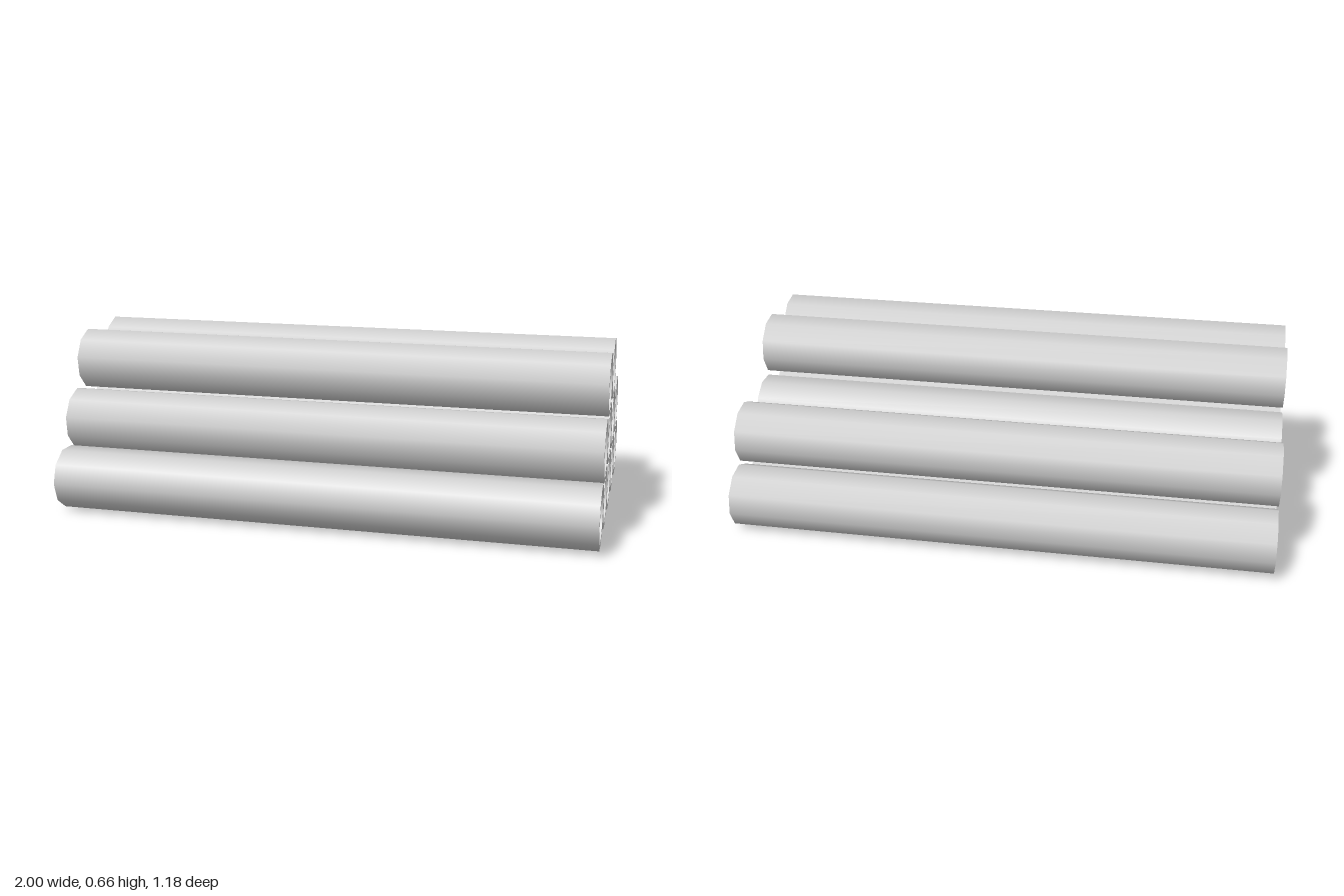
import * as THREE from 'three';
import { mergeGeometries } from 'three/addons/utils/BufferGeometryUtils.js';

const OUTER = 0.117, INNER = 0.096, HALF = 1, SIDES = 10;

// Ten-sided hollow pipe along x: each wall turned separately so the end rims stay crisp.
function pipeGeometry(roll) {
  const profile = [[OUTER, -HALF], [OUTER, HALF], [INNER, HALF], [INNER, -HALF], [OUTER, -HALF]]
    .map(([x, y]) => new THREE.Vector2(x, y));
  const walls = [];
  for (let i = 0; i < 4; i++) {
    walls.push(new THREE.LatheGeometry([profile[i], profile[i + 1]], SIDES, THREE.MathUtils.degToRad(roll)));
  }
  return mergeGeometries(walls).rotateZ(-Math.PI / 2);
}

export function createModel() {
  const group = new THREE.Group();
  group.name = 'pipeStack';
  const material = new THREE.MeshStandardMaterial({ color: 0xcccccc });

  // Each pipe: z, y, roll in degrees
  const rows = {
    bottomPipe: [[0.476, 0.121, 0], [0.237, 0.119, 25.5], [0.005, 0.119, 25.5], [-0.232, 0.119, 25.5], [-0.475, 0.119, 25.5]],
    middlePipe: [[0.356, 0.323, 24], [0.117, 0.329, 25], [-0.124, 0.329, 0], [-0.364, 0.329, 25]],
    topPipe: [[0.237, 0.535, 25.5], [-0.009, 0.545, 25.5]],
  };

  for (const [name, pipes] of Object.entries(rows)) {
    pipes.forEach(([z, y, roll], i) => {
      const pipe = new THREE.Mesh(pipeGeometry(roll), material);
      pipe.name = name + (i + 1);
      pipe.position.set(0, y, z);
      group.add(pipe);
    });
  }
  return group;
}
